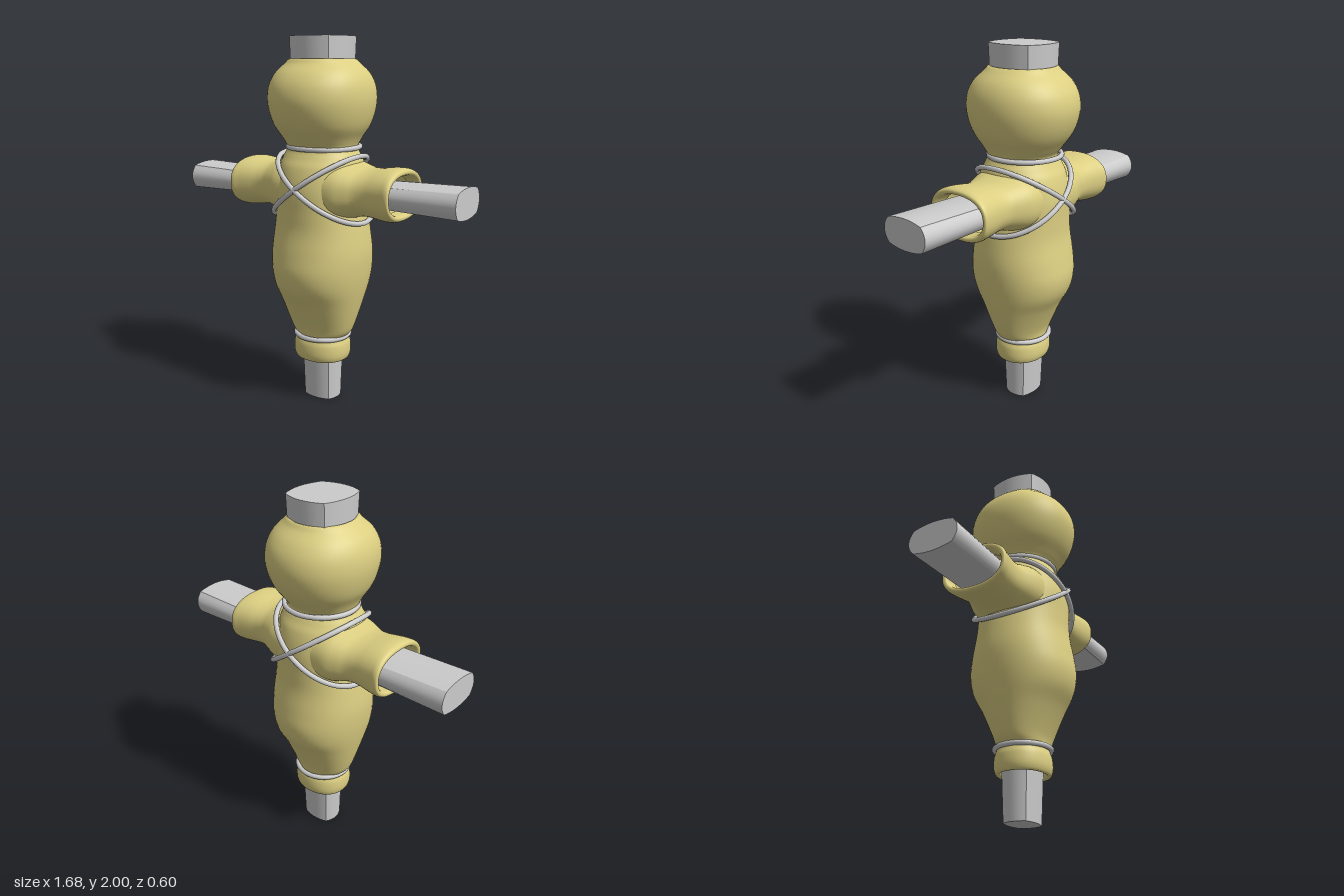
import * as THREE from 'three';
import { toCreasedNormals } from 'three/addons/utils/BufferGeometryUtils.js';

const wood = new THREE.MeshStandardMaterial({ color: 0xcccccc });
const rope = new THREE.MeshStandardMaterial({ color: 0xcccccc });
const cloth = new THREE.MeshStandardMaterial({ color: 0xdccf82, side: THREE.DoubleSide });

function add(parent, name, geometry, material) {
  const mesh = new THREE.Mesh(geometry, material);
  mesh.name = name;
  parent.add(mesh);
  return mesh;
}

// Smooth skin through rounded sections along y; rows are [y, half width x, half depth z]
function loft(rows, power, zOffset = 0, around = 56) {
  const sections = new THREE.CatmullRomCurve3(rows.map(r => new THREE.Vector3(...r)))
    .getPoints((rows.length - 1) * 5);
  const round = v => Math.sign(v) * Math.abs(v) ** (2 / power);
  const positions = [], index = [];
  sections.forEach((s, i) => {
    for (let j = 0; j < around; j++) {
      const a = (j / around) * Math.PI * 2;
      positions.push(s.y * round(Math.cos(a)), s.x, s.z * round(Math.sin(a)) + zOffset);
      if (i === sections.length - 1) continue;
      const k = (j + 1) % around, p = i * around, q = p + around;
      index.push(p + j, q + j, p + k, q + j, q + k, p + k);
    }
  });
  const geometry = new THREE.BufferGeometry();
  geometry.setAttribute('position', new THREE.Float32BufferAttribute(positions, 3));
  geometry.setIndex(index);
  geometry.computeVertexNormals();
  return geometry;
}

// Hewn timber: four bulging sides with sharp corners, along y from 0 to length;
// size(t) gives the half width and half depth at fraction t
function timber(length, size) {
  const c = 0.8, k = 1.2;
  const shape = new THREE.Shape();
  shape.moveTo(c, -c);
  shape.quadraticCurveTo(k, 0, c, c);
  shape.quadraticCurveTo(0, k, -c, c);
  shape.quadraticCurveTo(-k, 0, -c, -c);
  shape.quadraticCurveTo(0, -k, c, -c);
  const geometry = new THREE.ExtrudeGeometry(shape, { depth: length, steps: 2, bevelEnabled: false, curveSegments: 8 });
  geometry.rotateX(-Math.PI / 2);
  const p = geometry.attributes.position;
  for (let i = 0; i < p.count; i++) {
    const [w, d] = size(p.getY(i) / length);
    p.setXYZ(i, p.getX(i) * w, p.getY(i), p.getZ(i) * d);
  }
  return toCreasedNormals(geometry, 0.45);
}

// Closed rope loop; rise tilts it so that its +x end is raised
function ropeLoop(rx, rz, rise = 0) {
  const points = [];
  for (let i = 0; i < 24; i++) {
    const a = (i / 24) * Math.PI * 2;
    points.push(new THREE.Vector3(rx * Math.cos(a), rise * Math.cos(a), rz * Math.sin(a)));
  }
  return new THREE.TubeGeometry(new THREE.CatmullRomCurve3(points, true), 96, 0.014, 10, true);
}

export function createModel() {
  const model = new THREE.Group();
  model.name = 'trainingDummy';

  // Wooden cross
  add(model, 'uprightPost', timber(2, t => [0.1 + 0.052 * t, 0.08 + 0.085 * t]), wood).position.z = -0.005;
  const beam = add(model, 'crossBeam', timber(1.68, t => [0.058 + 0.022 * Math.abs(2 * t - 1), 0.142]), wood);
  beam.rotation.z = -Math.PI / 2;
  beam.position.set(-0.84, 1.205, -0.007);

  // Stuffed sack: hem, torso, neck and head, turned inwards at both openings
  add(model, 'sackBody', loft([
    [0.32, 0.115, 0.1], [0.25, 0.125, 0.11], [0.24, 0.148, 0.13], [0.27, 0.16, 0.143],
    [0.33, 0.159, 0.141], [0.37, 0.15, 0.128], [0.41, 0.178, 0.132], [0.47, 0.2, 0.155],
    [0.58, 0.23, 0.208], [0.68, 0.252, 0.265], [0.77, 0.265, 0.283], [0.87, 0.27, 0.272],
    [1.0, 0.257, 0.25], [1.1, 0.242, 0.248], [1.22, 0.238, 0.248], [1.33, 0.225, 0.222],
    [1.38, 0.21, 0.193], [1.425, 0.19, 0.175], [1.47, 0.205, 0.205], [1.54, 0.246, 0.257],
    [1.61, 0.268, 0.288], [1.68, 0.277, 0.3], [1.75, 0.27, 0.288], [1.81, 0.244, 0.252],
    [1.86, 0.197, 0.197], [1.885, 0.165, 0.175], [1.88, 0.152, 0.165], [1.82, 0.148, 0.16],
  ], 2.15), cloth);

  // Sleeves, flared at the shoulder and cuff, with the cuff turned inwards
  const sleeve = loft([
    [0.08, 0.16, 0.22], [0.18, 0.155, 0.215], [0.24, 0.138, 0.195], [0.29, 0.126, 0.176],
    [0.34, 0.126, 0.171], [0.4, 0.134, 0.178], [0.45, 0.138, 0.186], [0.485, 0.134, 0.193],
    [0.5, 0.124, 0.189], [0.497, 0.105, 0.168], [0.43, 0.095, 0.155],
  ], 2.35, -0.008);
  for (const side of [1, -1]) {
    const mesh = add(model, side > 0 ? 'leftSleeve' : 'rightSleeve', sleeve, cloth);
    mesh.rotation.z = -side * Math.PI / 2;
    mesh.position.y = 1.208;
  }

  // Ropes tied at neck and hem
  add(model, 'neckRope', ropeLoop(0.193, 0.192), rope).position.set(0, 1.427, -0.015);
  add(model, 'hemRope', ropeLoop(0.15, 0.145), rope).position.set(0, 0.375, -0.002);

  // Ropes crossed over the chest and back
  for (const side of [1, -1]) {
    const mesh = add(model, side > 0 ? 'leftChestRope' : 'rightChestRope', ropeLoop(0.247, 0.27, side * 0.175), rope);
    mesh.position.set(-side * 0.017, 1.213, -0.004);
  }
  return model;
}
